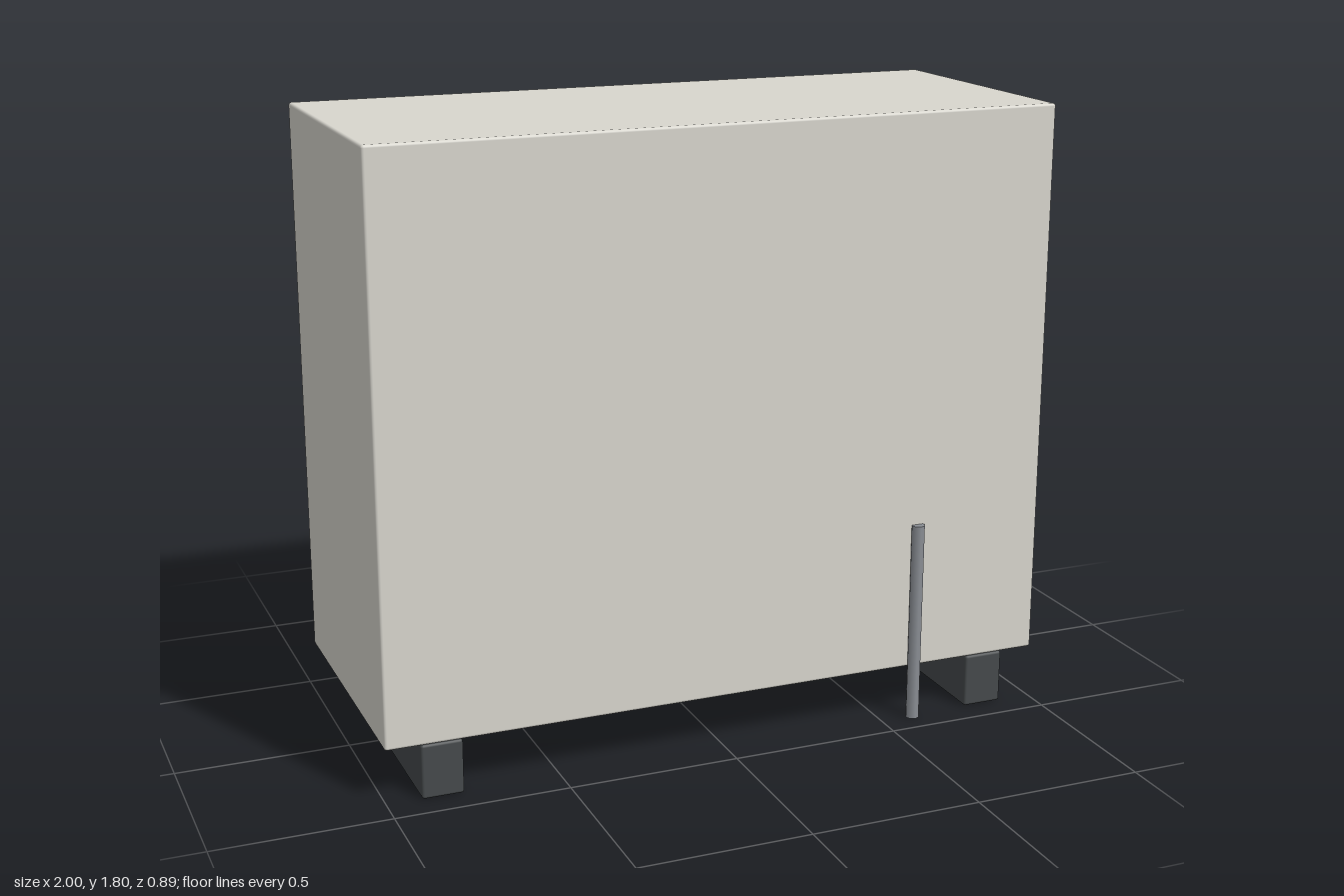
import * as THREE from 'three';
import { RoundedBoxGeometry } from 'three/addons/geometries/RoundedBoxGeometry.js';

const mat = (color) => new THREE.MeshStandardMaterial({ color });

export function createModel() {
  const group = new THREE.Group();
  group.name = 'outdoorUnit';
  const shell = mat(0xd8d6ce), dark = mat(0x464a4c), wire = mat(0x1c1d1e);
  const panelGrey = mat(0xa9b2b5), metal = mat(0x8a8e94);

  const add = (name, geometry, material, x, y, z, parent = group) => {
    const mesh = new THREE.Mesh(geometry, material);
    mesh.name = name;
    mesh.position.set(x, y, z);
    parent.add(mesh);
    return mesh;
  };

  // Cabinet
  const depth = 0.834, midZ = 0.003, backZ = midZ - depth / 2;
  add('cabinet', new RoundedBoxGeometry(2, 1.64, depth, 2, 0.008), shell, 0, 0.98, midZ);

  // Two full-depth feet
  for (const [side, name] of [[1, 'leftFoot'], [-1, 'rightFoot']]) {
    add(name, new RoundedBoxGeometry(0.12, 0.16, depth, 2, 0.008), dark, side * 0.84, 0.08, midZ);
  }

  // Fan opening with concentric wire guard on the back
  const fan = new THREE.Group();
  fan.name = 'fanGrille';
  fan.position.set(-0.3, 1, 0);
  group.add(fan);
  const disc = add('fanDisc', new THREE.CylinderGeometry(0.6, 0.6, 0.02, 24), dark, 0, 0, backZ - 0.001, fan);
  disc.rotation.x = Math.PI / 2;
  const wireZ = -0.438, wireRadius = 0.006;
  for (let i = 1; i <= 5; i++) {
    add('guardRing' + i, new THREE.TorusGeometry(0.12 * i - (i === 5 ? wireRadius : 0), wireRadius, 6, 24), wire, 0, 0, wireZ, fan);
  }
  add('guardBar', new THREE.BoxGeometry(1.2, 0.012, 0.012), wire, 0, 0, wireZ, fan);

  // Flat service panel beside the fan
  add('servicePanel', new THREE.BoxGeometry(0.4, 1.3, 0.02), panelGrey, 0.7, 0.95, backZ - 0.001);

  // Drain pipe against the front
  add('pipe', new THREE.CylinderGeometry(0.02, 0.02, 0.6, 8), metal, 0.6, 0.3, 0.426);

  return group;
}
